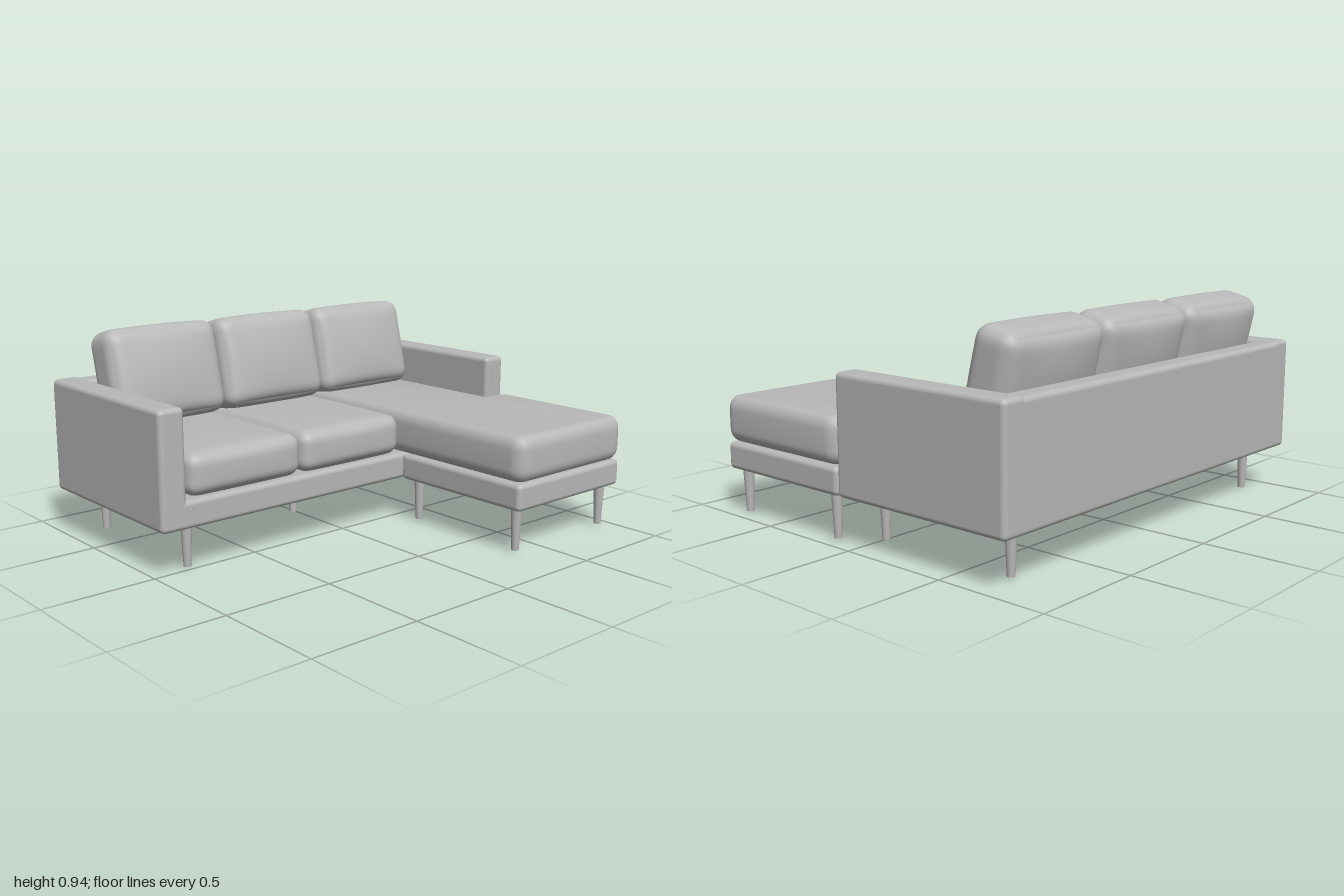
import * as THREE from 'three';
import { mergeVertices, toCreasedNormals } from 'three/addons/utils/BufferGeometryUtils.js';
import { RoundedBoxGeometry } from 'three/addons/geometries/RoundedBoxGeometry.js';

const fabric = new THREE.MeshStandardMaterial({ color: 0xb8b8b8 });
fabric.name = 'grey fabric';

// Soft cushion: a rounded box whose faces swell by puff[axis] at their middles
function pillowGeometry(w, h, d, r, puff) {
  const half = [w / 2, h / 2, d / 2];
  let geo = new THREE.BoxGeometry(2, 2, 2, 24, 24, 24);
  geo.deleteAttribute('uv');
  geo.deleteAttribute('normal');
  geo = mergeVertices(geo);
  const pos = geo.attributes.position;
  const inner = new THREE.Vector3(), off = new THREE.Vector3();
  for (let i = 0; i < pos.count; i++) {
    // crowd the grid lines towards the edges
    const u = [pos.getX(i), pos.getY(i), pos.getZ(i)].map((s) => Math.sin(s * Math.PI / 2));
    const p = u.map((s, a) => s * half[a]);
    inner.fromArray(p.map((v, a) => THREE.MathUtils.clamp(v, r - half[a], half[a] - r)));
    off.fromArray(p).sub(inner).setLength(r);
    const q = inner.add(off).toArray();
    const swell = puff.map((amount, a) => {
      const b = (a + 1) % 3, c = (a + 2) % 3;
      return amount * u[a] * (1 - u[b] ** 2) * (1 - u[c] ** 2);
    });
    pos.setXYZ(i, q[0] + swell[0], q[1] + swell[1], q[2] + swell[2]);
  }
  geo.computeVertexNormals();
  return geo;
}

// Plan outline with rounded corners, drawn through [x, z] points
function roundedOutline(points, r) {
  const shape = new THREE.Shape();
  const n = points.length;
  const v = points.map(([x, z]) => new THREE.Vector2(x, -z));
  v.forEach((p, i) => {
    const a = v[(i + n - 1) % n].clone().sub(p).setLength(r).add(p);
    const b = v[(i + 1) % n].clone().sub(p).setLength(r).add(p);
    if (i === 0) shape.moveTo(a.x, a.y);
    else shape.lineTo(a.x, a.y);
    shape.quadraticCurveTo(p.x, p.y, b.x, b.y);
  });
  shape.closePath();
  return shape;
}

export function createModel() {
  const group = new THREE.Group();
  const add = (name, geo, x = 0, y = 0, z = 0) => {
    const mesh = new THREE.Mesh(geo, fabric);
    mesh.name = name;
    mesh.position.set(x, y, z);
    group.add(mesh);
    return mesh;
  };
  // Upholstered frame panel given by its limits on each axis
  const panel = (name, x0, x1, y0, y1, z0, z1) =>
    add(name, new RoundedBoxGeometry(x1 - x0, y1 - y0, z1 - z0, 5, 0.022),
      (x0 + x1) / 2, (y0 + y1) / 2, (z0 + z1) / 2);

  // Frame
  panel('mainBase', -1, 0.985, 0.2, 0.32, -0.81, 0.075);
  panel('backrest', -1, 0.985, 0.2, 0.7, -0.81, -0.7);
  panel('rightArm', -1, -0.88, 0.2, 0.705, -0.81, 0.075);
  panel('leftArm', 0.87, 0.985, 0.2, 0.705, -0.81, 0.075);
  panel('chaiseBase', 0.295, 0.985, 0.2, 0.32, 0.078, 0.795);

  // Two plain seat cushions
  const seat = pillowGeometry(0.576, 0.185, 0.78, 0.055, [0, 0.014, 0.008]);
  for (const x of [-0.582, -0.003]) add('seatCushion', seat, x, 0.416, -0.305);

  // L-shaped chaise cushion, wrapping the front of the arm
  const bevel = 0.045;
  const outline = roundedOutline([
    [0.288 + bevel, 0.805 - bevel], [0.992 - bevel, 0.805 - bevel],
    [0.992 - bevel, 0.072 + bevel], [0.865 - bevel, 0.072 + bevel],
    [0.865 - bevel, -0.7 + bevel], [0.288 + bevel, -0.7 + bevel],
  ], 0.025);
  const chaise = new THREE.ExtrudeGeometry(outline, {
    depth: 0.085, bevelThickness: 0.058, bevelSize: bevel, bevelSegments: 7, curveSegments: 5,
  });
  chaise.rotateX(-Math.PI / 2);
  add('chaiseCushion', toCreasedNormals(chaise, 0.7), 0, 0.38, 0);

  // Leaning back cushions
  const back = pillowGeometry(0.57, 0.42, 0.2, 0.06, [0, 0.008, 0.03]);
  for (const x of [-0.582, -0.003, 0.572]) {
    add('backCushion', back, x, 0.715, -0.59).rotation.x = -0.24;
  }

  // Tapered legs under the main seat and the chaise
  const leg = new THREE.CylinderGeometry(0.025, 0.016, 0.2, 20);
  for (const [xs, zs] of [[[-0.83, 0.815], [-0.69, -0.02]], [[0.355, 0.93], [0.14, 0.73]]]) {
    for (const x of xs) for (const z of zs) add('leg', leg, x, 0.11, z);
  }
  // Straight support leg in the middle
  add('centreLeg', new THREE.CylinderGeometry(0.018, 0.018, 0.21, 20), -0.005, 0.105, -0.36);

  return group;
}
